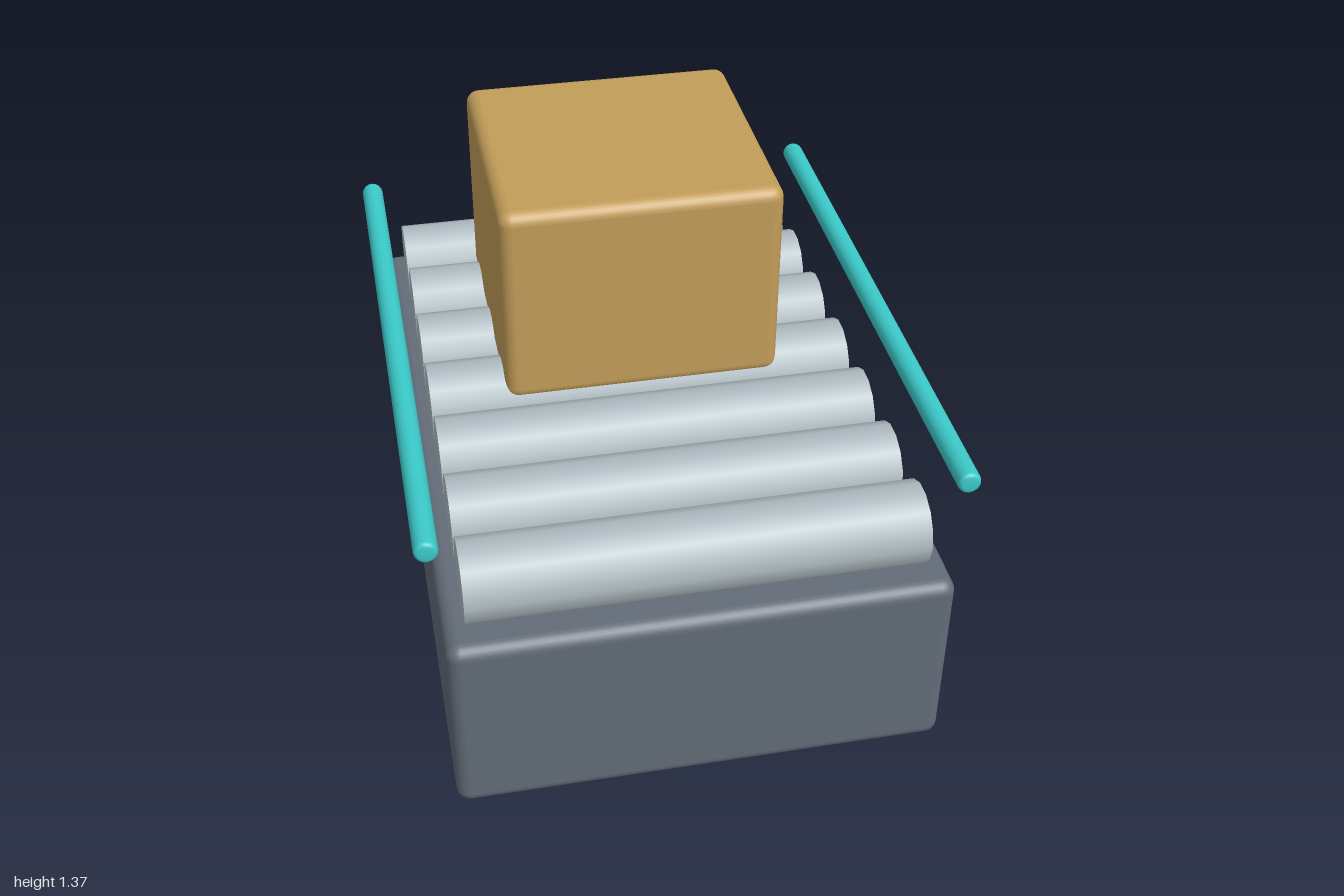
import * as THREE from 'three';
import { RoundedBoxGeometry } from 'three/addons/geometries/RoundedBoxGeometry.js';

function material(name, color) {
  const m = new THREE.MeshStandardMaterial({ color });
  m.name = name;
  return m;
}

export function createModel() {
  const group = new THREE.Group();
  group.name = 'rollerConveyor';
  const slate = material('slate', 0x626c78);
  const steel = material('steel', 0xb0bdc3);
  const cardboard = material('cardboard', 0xc29d59);
  const teal = material('teal', 0x3ccaca);

  function add(name, geometry, mat, x, y, z) {
    const mesh = new THREE.Mesh(geometry, mat);
    mesh.name = name;
    mesh.position.set(x, y, z);
    group.add(mesh);
    return mesh;
  }

  // Solid base with softened edges
  add('base', new RoundedBoxGeometry(1.414, 0.595, 2, 3, 0.04), slate, 0, 0.2975, 0);

  // Seven rollers lying across the base
  const rollerGeometry = new THREE.CylinderGeometry(0.12, 0.12, 1.29, 14);
  rollerGeometry.rotateZ(Math.PI / 2);
  for (let i = 0; i < 7; i++) {
    add('roller' + (i + 1), rollerGeometry, steel, 0, 0.678, (i - 3) * 0.27);
  }

  // Parcel resting on the rollers towards the back
  add('parcel', new RoundedBoxGeometry(0.834, 0.645, 0.81, 3, 0.04), cardboard, 0, 1.0425, -0.3);

  // Guide rails with slightly rounded ends
  const profile = [
    [0, -0.93], [0.022, -0.93], [0.03, -0.926], [0.033, -0.917],
    [0.033, 0.917], [0.03, 0.926], [0.022, 0.93], [0, 0.93],
  ].map(([r, y]) => new THREE.Vector2(r, y));
  const railGeometry = new THREE.LatheGeometry(profile, 16);
  railGeometry.rotateX(Math.PI / 2);
  for (const side of [-1, 1]) {
    add(side > 0 ? 'leftRail' : 'rightRail', railGeometry, teal, side * 0.73, 0.893, 0);
  }

  return group;
}
